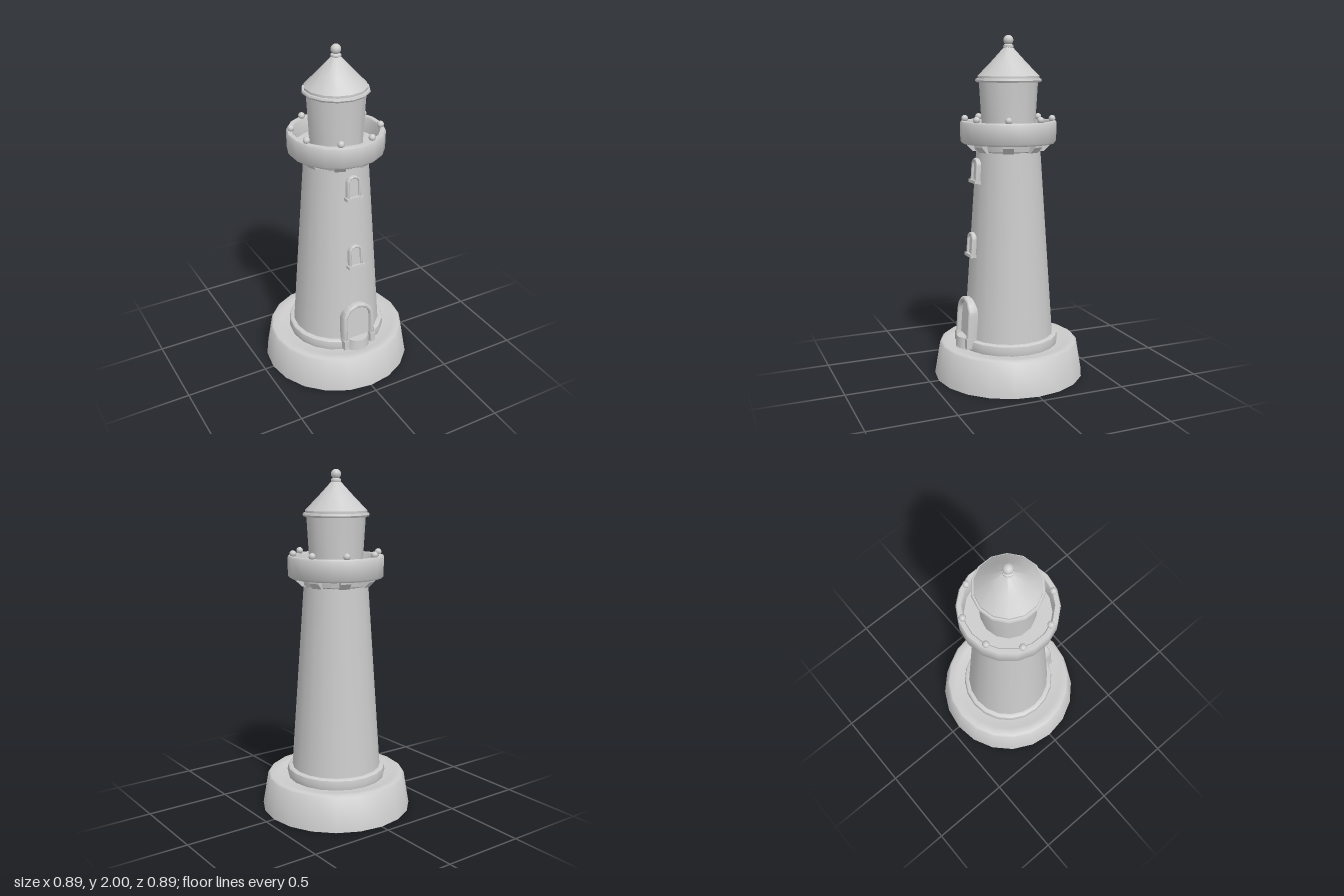
import * as THREE from 'three';
import { toCreasedNormals } from 'three/addons/utils/BufferGeometryUtils.js';

const stone = new THREE.MeshStandardMaterial({ color: 0xcccccc, side: THREE.DoubleSide });
stone.name = 'pale stone';

function add(parent, name, geometry, x = 0, y = 0, z = 0) {
  const mesh = new THREE.Mesh(geometry, stone);
  mesh.name = name;
  mesh.position.set(x, y, z);
  parent.add(mesh);
  return mesh;
}

// Turned part from [radius, height] pairs
function turned(points, sides, crease = 0.75) {
  const profile = points.map(([r, y]) => new THREE.Vector2(r, y));
  return toCreasedNormals(new THREE.LatheGeometry(profile, sides), crease);
}

// Round-headed outline, standing on y = 0
function archPoints(halfWidth, height) {
  const pts = [[-halfWidth, 0]];
  for (let i = 0; i <= 10; i++) {
    const a = Math.PI * (1 - i / 10);
    pts.push([Math.cos(a) * halfWidth, height - halfWidth + Math.sin(a) * halfWidth]);
  }
  pts.push([halfWidth, 0]);
  return pts.map(([x, y]) => new THREE.Vector2(x, y));
}

// Arched surround with a recessed panel, leaning back with the tower wall
function archedOpening(name, halfWidth, height, border, depth) {
  const group = new THREE.Group();
  group.name = name;
  const inner = archPoints(halfWidth - border, height - border);
  const surround = new THREE.Shape([...archPoints(halfWidth, height), ...inner.slice().reverse()]);
  const bevel = border * 0.25;
  add(group, 'surround', toCreasedNormals(new THREE.ExtrudeGeometry(surround, {
    depth: depth - bevel, bevelEnabled: true, bevelThickness: bevel,
    bevelSize: bevel, bevelOffset: -bevel, bevelSegments: 1,
  }), 0.8));
  add(group, 'panel', new THREE.ExtrudeGeometry(new THREE.Shape(inner), {
    depth: 0.008, bevelEnabled: false,
  }), 0, 0, depth * 0.4);
  group.rotation.x = -0.071;
  return group;
}

export function createModel() {
  const model = new THREE.Group();
  model.name = 'lighthouse';

  // Hollow plinth, footing and tapering tower
  add(model, 'plinth', turned([[0.445, 0], [0.412, 0.195], [0.4, 0.205], [0.35, 0.2], [0.31, 0.19], [0.28, 0.19]], 20, 0.9));
  add(model, 'footing', turned([[0.29, 0.19], [0.295, 0.215], [0.29, 0.245], [0.28, 0.252], [0.26, 0.252]], 20));
  add(model, 'tower', turned([[0.268, 0.19], [0.264, 0.25], [0.187, 1.35], [0.185, 1.42]], 20));

  // Gallery: floor with a thick parapet
  add(model, 'gallery', turned([
    [0.18, 1.388], [0.268, 1.388], [0.278, 1.4], [0.28, 1.505], [0.274, 1.515],
    [0.25, 1.515], [0.244, 1.505], [0.24, 1.42], [0.14, 1.42],
  ], 18));
  add(model, 'collar', turned([[0.186, 1.343], [0.198, 1.35], [0.205, 1.39]], 18));

  // Brackets below the gallery and knobs on the parapet
  const bracketShape = new THREE.Shape([[0.17, 1.34], [0.205, 1.342], [0.238, 1.375], [0.24, 1.395], [0.17, 1.395]]
    .map(([x, y]) => new THREE.Vector2(x, y)));
  const bracketGeo = new THREE.ExtrudeGeometry(bracketShape, { depth: 0.06, bevelEnabled: false });
  bracketGeo.translate(0, 0, -0.03);
  const knobGeo = new THREE.SphereGeometry(0.02, 10, 8);
  for (let i = 0; i < 8; i++) {
    const a = (i + 0.5) * Math.PI / 4;
    add(model, 'bracket', bracketGeo).rotation.y = a;
    add(model, 'parapetKnob', knobGeo, Math.cos(a) * 0.252, 1.528, Math.sin(a) * 0.252);
  }

  // Lantern room, eaves, roof and finial
  add(model, 'lanternRoom', turned([[0.153, 1.41], [0.157, 1.52], [0.17, 1.74]], 14));
  add(model, 'eaves', turned([[0.165, 1.735], [0.186, 1.735], [0.192, 1.745], [0.188, 1.756], [0.172, 1.758]], 14));
  add(model, 'roof', turned([[0.178, 1.752], [0.178, 1.77], [0.1, 1.85], [0.022, 1.935], [0, 1.937]], 14));
  add(model, 'finialCollar', turned([[0.018, 1.925], [0.03, 1.932], [0.03, 1.942], [0.018, 1.95]], 10));
  add(model, 'finialBall', new THREE.SphereGeometry(0.029, 12, 8), 0, 1.971, 0);

  // Door with its rounded step
  const door = archedOpening('door', 0.103, 0.275, 0.025, 0.055);
  door.position.set(0, 0.215, 0.248);
  model.add(door);
  for (const side of [-1, 1]) {
    add(model, 'doorFoot', new THREE.BoxGeometry(0.032, 0.06, 0.055), side * 0.09, 0.235, 0.277);
  }
  const stepGeo = new THREE.CylinderGeometry(0.068, 0.075, 0.075, 8, 1, false, -Math.PI / 2, Math.PI);
  stepGeo.scale(1, 1, 0.9);
  add(model, 'doorStep', toCreasedNormals(stepGeo, 0.7), 0, 0.222, 0.265);

  // Two windows with sills, one above the other
  for (const [y, z] of [[0.735, 0.217], [1.165, 0.187]]) {
    const window = archedOpening('window', 0.043, 0.14, 0.014, 0.035);
    window.position.set(0, y, z);
    add(window, 'sill', new THREE.BoxGeometry(0.105, 0.018, 0.044), 0, 0.005, 0.02);
    model.add(window);
  }

  return model;
}
